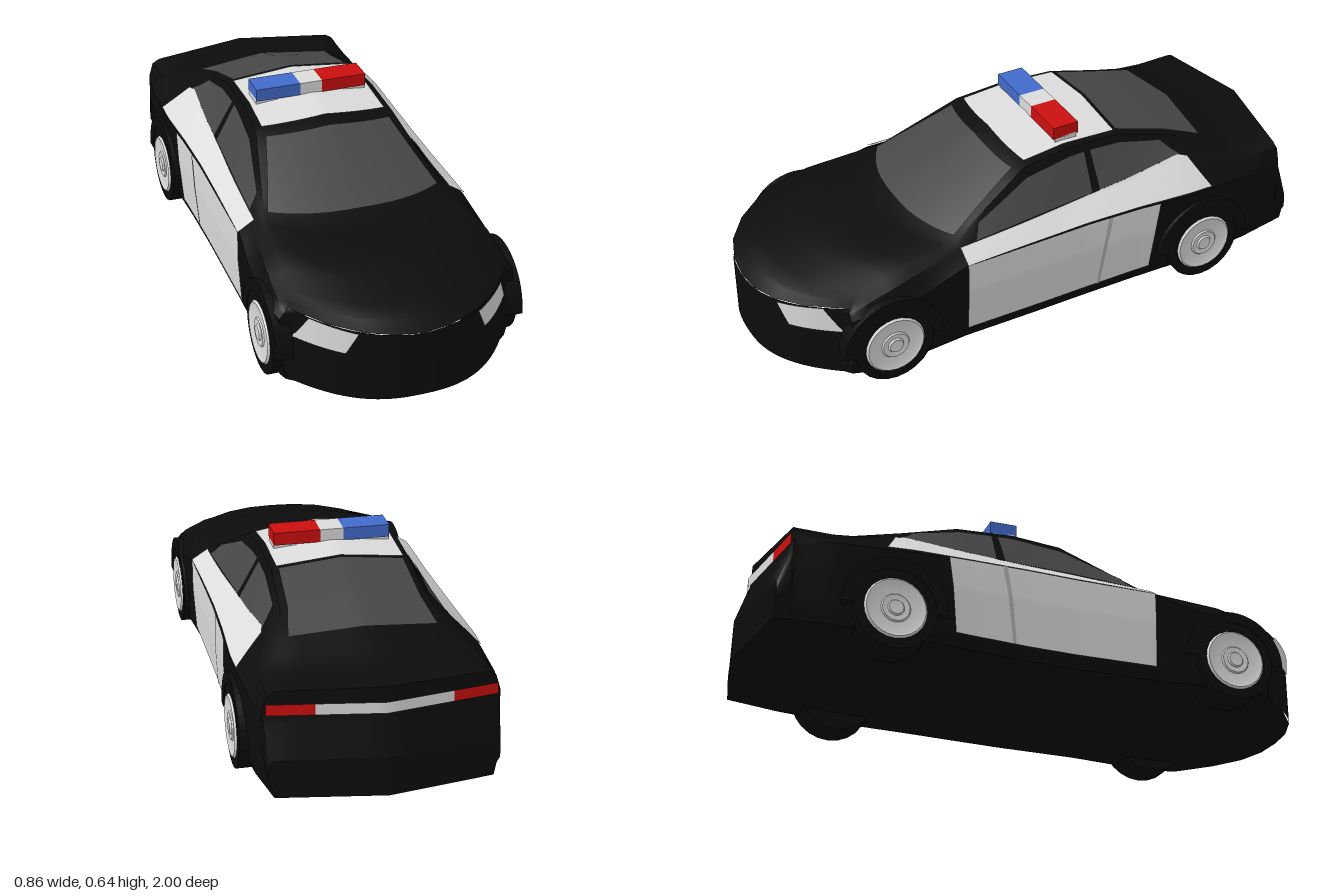
import * as THREE from 'three';
import { toCreasedNormals } from 'three/addons/utils/BufferGeometryUtils.js';

const mat = (name, color) => {
  const m = new THREE.MeshStandardMaterial({ color });
  m.name = name;
  return m;
};
const lerp = THREE.MathUtils.lerp;

// Body station: z, bow, half width, shoulder height, belt x/y, rail x/y, centre height.
// The sill and lower side follow from the half width and the rising belly.
function station(z, bow, w, shoulder, beltX, beltY, railX, railY, top) {
  const yb = 0.04 + Math.max(0, -z) * 0.035;
  return {
    z, bow, edge: railX,
    ring: [[0, yb], [w - 0.02, yb], [w - 0.01, yb + 0.045], [w, lerp(yb, shoulder, 0.65)],
      [w, shoulder], [beltX, beltY], [railX, railY], [0, top]],
  };
}
const stations = [
  station(1, 0.22, 0.4, 0.27, 0.385, 0.29, 0.37, 0.305, 0.27),
  station(0.95, 0.2, 0.41, 0.28, 0.39, 0.305, 0.35, 0.315, 0.315),
  station(0.72, 0.12, 0.422, 0.28, 0.385, 0.345, 0.32, 0.37, 0.375),
  station(0.45, 0.09, 0.4, 0.35, 0.345, 0.385, 0.315, 0.4, 0.405),
  station(0.1, 0.03, 0.397, 0.355, 0.335, 0.405, 0.248, 0.555, 0.578),
  station(-0.1, 0, 0.397, 0.36, 0.325, 0.415, 0.24, 0.575, 0.597),
  station(-0.3, 0, 0.402, 0.36, 0.318, 0.43, 0.235, 0.568, 0.592),
  station(-0.5, 0, 0.412, 0.355, 0.305, 0.455, 0.245, 0.51, 0.545),
  station(-0.8, -0.04, 0.4, 0.35, 0.36, 0.4, 0.3, 0.42, 0.435),
  station(-0.95, -0.06, 0.38, 0.35, 0.365, 0.4, 0.34, 0.415, 0.425),
  station(-0.953, -0.06, 0.38, 0.29, 0.378, 0.33, 0.37, 0.345, 0.35),
  station(-1, -0.06, 0.372, 0.17, 0.368, 0.19, 0.36, 0.205, 0.21),
];

// Depth of a station at x: rounded nose, pointed tail
const zAt = (st, x) =>
  st.z - st.bow * Math.min(Math.abs(x) / st.edge, 1) ** (st.bow < 0 ? 1 : 2.5);

function ringPoint(st, t) {
  const i = Math.min(Math.floor(t), 6), f = t - i, a = st.ring[i], b = st.ring[i + 1];
  return [lerp(a[0], b[0], f), lerp(a[1], b[1], f)];
}

// Body surface: s runs along the stations, t round the ring (0 belly, 7 top, 14 belly)
function surface(s, t) {
  const side = t > 7 ? -1 : 1, h = t > 7 ? 14 - t : t;
  const i = THREE.MathUtils.clamp(Math.floor(s), 0, stations.length - 2);
  const [p, q] = [stations[i], stations[i + 1]].map((st) => {
    const [x, y] = ringPoint(st, h);
    return new THREE.Vector3(side * x, y, zAt(st, x));
  });
  return p.lerp(q, s - i);
}

// Grid surface from a rule over u, v in 0..1
function grid(nu, nv, rule) {
  const pos = [], index = [];
  for (let j = 0; j <= nv; j++)
    for (let i = 0; i <= nu; i++) pos.push(...rule(i / nu, j / nv).toArray());
  for (let j = 0; j < nv; j++)
    for (let i = 0; i < nu; i++) {
      const a = j * (nu + 1) + i, d = a + nu + 1;
      index.push(a, a + 1, d + 1, a, d + 1, d);
    }
  const g = new THREE.BufferGeometry();
  g.setAttribute('position', new THREE.Float32BufferAttribute(pos, 3));
  g.setIndex(index);
  g.computeVertexNormals();
  return g;
}

// Point inside a four-cornered patch
const patch = ([a, b, c, d], u, v) =>
  [0, 1].map((i) => lerp(lerp(a[i], b[i], u), lerp(d[i], c[i], u), v));

// Thin panel lying on the body between four (s, t) corners
function panel(corners, lift = 0.006) {
  const e = 0.01;
  return grid(28, 16, (u, v) => {
    const [s, t] = patch(corners, u, v);
    const n = surface(s + e, t).sub(surface(s - e, t))
      .cross(surface(s, t + e).sub(surface(s, t - e))).normalize();
    return surface(s, t).addScaledVector(n, lift);
  });
}

// End cap of the body; dir 1 is the nose, -1 the tail
function cap(st, dir) {
  const yb = st.ring[0][1], dip = (st.ring[7][1] - yb) / (st.ring[6][1] - yb);
  return grid(32, 20, (u, v) => {
    const k = (u * 2 - 1) * dir, [x, y] = ringPoint(st, 1 + 5 * v);
    return new THREE.Vector3(x * k, yb + (y - yb) * lerp(dip, 1, Math.abs(k)), zAt(st, x * k));
  });
}

// Plate on the nose or tail from four (x, y) corners
const endPlate = (st, lift, corners) => grid(12, 4, (u, v) => {
  const [x, y] = patch(corners, u, v);
  return new THREE.Vector3(x, y, zAt(st, x) + lift);
});

export function createModel() {
  const black = mat('black paint', 0x0c0c0c);
  const white = mat('white paint', 0xdcdcdc);
  const seamGrey = mat('seam grey', 0xb4b4b4);
  const glass = mat('dark glass', 0x474747);
  const red = mat('red light', 0xcc0f0f);
  const blue = mat('blue light', 0x426bcc);

  const car = new THREE.Group();
  car.name = 'car';
  const add = (name, geometry, material, x = 0, y = 0, z = 0) => {
    const m = new THREE.Mesh(geometry, material);
    m.name = name;
    m.position.set(x, y, z);
    car.add(m);
    return m;
  };

  // Body shell
  const last = stations.length - 1;
  add('body', toCreasedNormals(grid(last * 4, 56, (u, v) => surface(u * last, v * 14)), 0.5), black);
  add('nose', cap(stations[0], 1), black);
  add('tail', cap(stations[last], -1), black);

  // Glass and roof over the centre line
  const across = (s0, s1, t0, t1) => [[s0, t0], [s1, t1], [s1, 14 - t1], [s0, 14 - t0]];
  add('windshield', panel(across(3.03, 3.93, 6.04, 6.12)), glass);
  add('roofPanel', panel(across(4.12, 5.98, 6.1, 6.08)), white);
  add('rearWindow', panel(across(6.03, 7.5, 6.1, 6.1)), glass);

  // Side panels, mirrored
  const sides = [
    ['door', white, [[3, 2], [6.25, 2], [6.4, 4], [3, 4]]],
    ['shoulderPanel', white, [[3, 4], [7.35, 4.05], [7.15, 5.05], [3, 5]]],
    ['doorSeam', seamGrey, [[5.2, 2], [5.26, 2], [5.46, 4], [5.38, 4]], 0.009],
    ['frontSideWindow', glass, [[3.2, 5.03], [5.28, 5.03], [5.3, 5.86], [3.3, 5.78]]],
    ['rearSideWindow', glass, [[5.42, 5.03], [7.08, 5.05], [6.8, 5.8], [5.4, 5.86]]],
  ];
  for (const [name, material, corners, lift] of sides) {
    add(name + 'Left', panel(corners, lift), material);
    const [a, b, c, d] = corners.map(([s, t]) => [s, 14 - t]);
    add(name + 'Right', panel([d, c, b, a], lift), material);
  }

  // Headlights and tail lights
  const lamp = [[0.235, 0.205], [0.365, 0.21], [0.325, 0.301], [0.2, 0.284]];
  const [la, lb, lc, ld] = lamp.map(([x, y]) => [-x, y]);
  add('headlightLeft', endPlate(stations[0], 0.007, lamp), white);
  add('headlightRight', endPlate(stations[0], 0.007, [lb, la, ld, lc]), white);
  const strip = (x0, x1) =>
    endPlate(stations[10], -0.008, [[x1, 0.34], [x0, 0.34], [x0, 0.378], [x1, 0.378]]);
  add('tailLightStrip', strip(-0.22, 0.22), white);
  add('tailLightLeft', strip(0.22, 0.37), red);
  add('tailLightRight', strip(-0.37, -0.22), red);

  // Light bar on two feet
  const bar = (w) => new THREE.BoxGeometry(w, 0.044, 0.095);
  add('lightBarBlue', bar(0.16), blue, -0.12, 0.618, -0.118);
  add('lightBarCentre', bar(0.08), white, 0, 0.618, -0.118);
  add('lightBarRed', bar(0.16), red, 0.12, 0.618, -0.118);
  for (const x of [-0.16, 0.16])
    add('lightBarFoot', new THREE.BoxGeometry(0.08, 0.03, 0.08), white, x, 0.586, -0.118);

  // Wheels and wheel arches
  const tyre = new THREE.CylinderGeometry(0.14, 0.14, 0.12, 24).rotateZ(Math.PI / 2);
  const profile = [[0.106, 0], [0.1, 0.007], [0.085, 0.002], [0.05, 0.001], [0.046, 0.006],
    [0.028, 0.004], [0.024, 0.01], [0, 0.011]].map(([x, y]) => new THREE.Vector2(x, y));
  const rim = toCreasedNormals(new THREE.LatheGeometry(profile, 24), 0.6);
  const arc = new THREE.Shape();
  arc.absarc(0, 0, 0.178, 0, Math.PI, false);
  arc.absarc(0, 0, 0.138, Math.PI, 0, true);
  const arch = new THREE.ExtrudeGeometry(arc, { depth: 0.06, bevelEnabled: false, curveSegments: 12 })
    .translate(0, 0, -0.03).rotateY(Math.PI / 2);
  for (const [end, z] of [['front', 0.64], ['rear', -0.56]])
    for (const side of [1, -1]) {
      add(end + 'Tyre', tyre, black, side * 0.361, 0.14, z);
      add(end + 'Rim', rim, white, side * 0.421, 0.14, z).rotation.z = -side * Math.PI / 2;
      add(end + 'Arch', arch, black, side * 0.394, 0.14, z);
    }
  return car;
}
